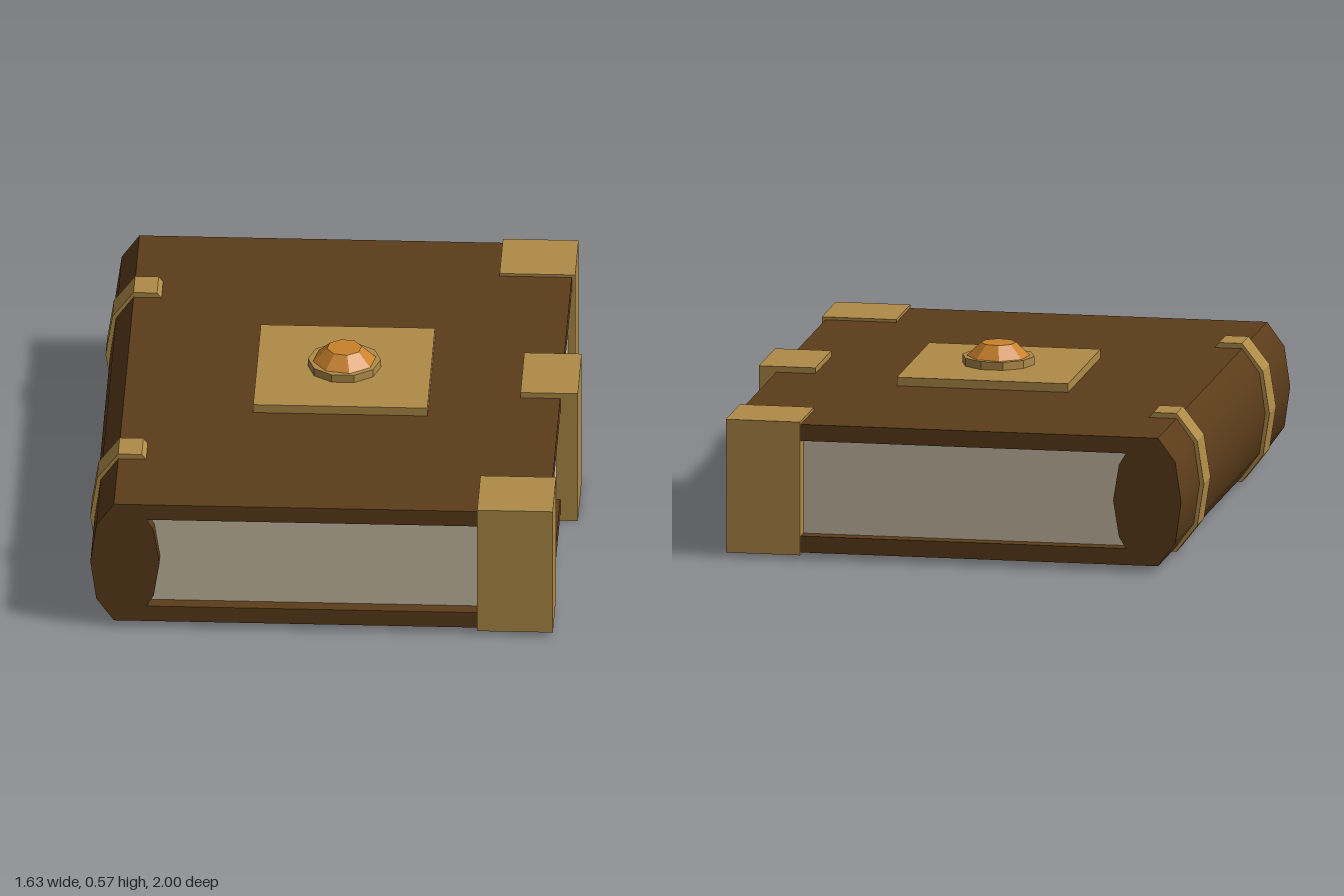
import * as THREE from 'three';
import { toCreasedNormals } from 'three/addons/utils/BufferGeometryUtils.js';

const MID = 0.245; // mid height of the book

export function createModel() {
  const book = new THREE.Group();
  book.name = 'book';
  const mat = (color, flatShading = false) => new THREE.MeshStandardMaterial({ color, flatShading });
  const leather = mat(0x5c3d1a);
  const brass = mat(0xb08b48, true);
  const paper = mat(0xcabfa6);
  const amber = mat(0xc9822b, true);

  const add = (name, geometry, material) => {
    const mesh = new THREE.Mesh(geometry, material);
    mesh.name = name;
    book.add(mesh);
    return mesh;
  };
  // Box given by its limits on each axis
  const box = (name, material, [x0, x1], [y0, y1], [z0, z1]) => {
    const mesh = add(name, new THREE.BoxGeometry(x1 - x0, y1 - y0, z1 - z0), material);
    mesh.position.set((x0 + x1) / 2, (y0 + y1) / 2, (z0 + z1) / 2);
    return mesh;
  };
  // Extrude an xy outline along z, centred on z; the lower half mirrors the upper
  const prism = (name, material, upper, z, depth) => {
    const lower = upper.filter(p => p[1] > 0).map(([x, y]) => [x, -y]).reverse();
    const points = [...upper, ...lower].map(([x, y]) => new THREE.Vector2(x, y + MID));
    const geometry = new THREE.ExtrudeGeometry(new THREE.Shape(points), { depth, bevelEnabled: false });
    geometry.translate(0, 0, z - depth / 2);
    return add(name, toCreasedNormals(geometry, 0.65), material);
  };

  // Covers and page block
  box('backCover', leather, [-0.72, 0.755], [0.023, 0.08], [-0.99, 0.99]);
  box('frontCover', leather, [-0.72, 0.755], [0.41, 0.467], [-0.99, 0.99]);
  box('pages', paper, [-0.65, 0.742], [0.075, 0.415], [-0.94, 0.94]);

  // Rounded spine, bulging outwards and into the pages
  prism('spine', leather, [
    [-0.57, 0], [-0.59, 0.125], [-0.615, 0.166], [-0.66, 0.222],
    [-0.725, 0.222], [-0.785, 0.14], [-0.805, 0],
  ], 0, 1.98);

  // Raised bands around the spine
  for (const z of [-0.595, 0.595]) {
    const outer = [[-0.63, 0.222], [-0.645, 0.24], [-0.725, 0.24], [-0.797, 0.147], [-0.82, 0]];
    const inner = [[-0.79, 0], [-0.77, 0.135], [-0.715, 0.21], [-0.63, 0.21]];
    const strap = [...outer, ...outer.slice(0, -1).reverse().map(([x, y]) => [x, -y]),
      ...inner.slice(1).reverse().map(([x, y]) => [x, -y]), ...inner];
    const shape = new THREE.Shape(strap.map(([x, y]) => new THREE.Vector2(x, y + MID)));
    const geometry = new THREE.ExtrudeGeometry(shape, { depth: 0.12, bevelEnabled: false });
    geometry.translate(0, 0, z - 0.06);
    add('spineBand', geometry, brass);
  }

  // Corner guards and clasp
  for (const s of [-1, 1]) {
    const guard = box('cornerGuard', brass, [0.51, 0.767], [0.015, 0.477], [0.745, 1]);
    guard.position.z *= s;
  }
  box('clasp', brass, [0.62, 0.815], [0, 0.487], [-0.147, 0.147]);

  // Cover plate with its set stone
  box('coverPlate', brass, [-0.282, 0.31], [0.46, 0.497], [-0.295, 0.295]);
  const setting = add('stoneSetting', new THREE.CylinderGeometry(0.124, 0.124, 0.03, 10), brass);
  setting.position.set(0.015, 0.51, 0);
  setting.rotation.y = Math.PI / 10;
  const stone = add('stone', new THREE.CylinderGeometry(0.06, 0.108, 0.045, 8), amber);
  stone.position.set(0.015, 0.5475, 0);
  stone.rotation.y = 0.2;

  return book;
}
